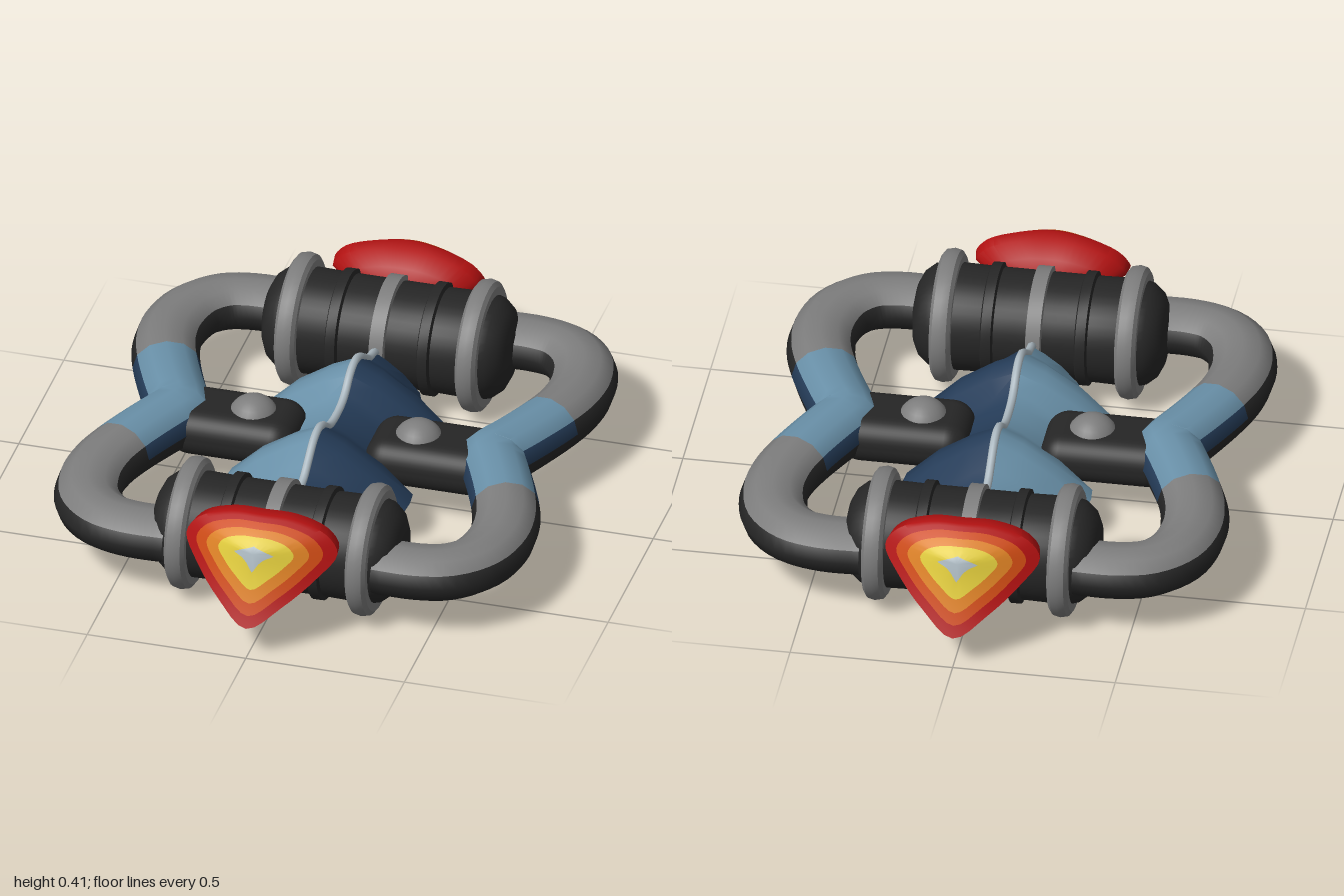
import * as THREE from 'three';
import { toCreasedNormals } from 'three/addons/utils/BufferGeometryUtils.js';
import { RoundedBoxGeometry } from 'three/addons/geometries/RoundedBoxGeometry.js';

const mat = (name, color) => Object.assign(new THREE.MeshStandardMaterial({ color }), { name });
const V = (x, y, z) => new THREE.Vector3(x, y, z);

// Skin over closed rows of points; pick(i, j) gives the material index of each quad
function skin(rows, count, pick, flip = false) {
  const n = rows[0].length;
  const lists = Array.from({ length: count }, () => []);
  for (let i = 0; i < rows.length - 1; i++) {
    for (let j = 0; j < n; j++) {
      const k = (j + 1) % n;
      const a = i * n + j, b = i * n + k, c = (i + 1) * n + k, d = (i + 1) * n + j;
      lists[pick(i, j)].push(...(flip ? [a, c, b, a, d, c] : [a, b, c, a, c, d]));
    }
  }
  const geo = new THREE.BufferGeometry().setFromPoints(rows.flat());
  geo.setIndex(lists.flat());
  let start = 0;
  lists.forEach((l, m) => { geo.addGroup(start, l.length, m); start += l.length; });
  return toCreasedNormals(geo, 0.7);
}

export function createModel() {
  const model = new THREE.Group();
  const black = mat('black', 0x262626), gray = mat('gray', 0x7d7d7d);
  const blue = mat('blue', 0x6990a8), navy = mat('navy', 0x253c58), pale = mat('pale', 0xadbac2);
  const red = mat('red', 0xb01010), rust = mat('rust', 0xcc4a12);
  const orange = mat('orange', 0xdb8023), yellow = mat('yellow', 0xe0cb3c);

  const add = (parent, name, geo, material, x = 0, y = 0, z = 0) => {
    const m = new THREE.Mesh(geo, material);
    m.name = name;
    m.position.set(x, y, z);
    parent.add(m);
    return m;
  };

  // Turned shape around the x axis, profile given as [x, radius]
  const turned = (pts, from = 0, sweep = Math.PI * 2) => toCreasedNormals(
    new THREE.LatheGeometry(pts.map(([x, r]) => new THREE.Vector2(r, x)), 40, from, sweep)
      .rotateZ(-Math.PI / 2), 0.6);

  // Barrel with ridges and domed ends
  const half = [[0.06, 0.162], [0.125, 0.162], [0.13, 0.175], [0.16, 0.175], [0.165, 0.162],
    [0.3, 0.165], [0.335, 0.155], [0.365, 0.13], [0.382, 0.095], [0.39, 0.05], [0.392, 0]];
  const barrelGeo = turned([...half.map(([x, r]) => [-x, r]).reverse(), ...half]);
  const ringGeo = turned([[-0.032, 0.16], [-0.032, 0.186], [-0.022, 0.2], [0, 0.205],
    [0.022, 0.2], [0.032, 0.186], [0.032, 0.16]]);
  const bandPts = [[-0.025, 0.16], [-0.022, 0.177], [0.022, 0.177], [0.025, 0.16]];
  const bandTop = turned(bandPts, Math.PI, Math.PI), bandLow = turned(bandPts, 0, Math.PI);

  // Flame shaped lamp: outline from the lower tip round to the crown
  const side = [[0, 0.11, 1.0], [0.1, 0.175, 0.955], [0.19, 0.25, 0.88], [0.238, 0.31, 0.82],
    [0.2, 0.365, 0.81], [0.1, 0.402, 0.81], [0, 0.41, 0.82]];
  const outline = new THREE.CatmullRomCurve3([
    ...side.map(p => V(...p)),
    ...side.slice(1, -1).reverse().map(([x, y, z]) => V(-x, y, z))], true).getPoints(48).slice(0, 48);
  const tip = V(0, 0.33, 0.925);
  const steps = [0, 0.22, 0.36, 0.5, 0.68, 0.84, 0.93, 1];
  const lampRows = steps.map(s => outline.map((p, j) => {
    // the centre patch is a diamond
    const q = j / 12 % 1;
    const r = s === 0.22 ? s / (Math.abs(Math.sin(q * Math.PI / 2)) + Math.cos(q * Math.PI / 2)) * 1.2 : s;
    const v = tip.clone().lerp(p, r);
    v.z = tip.z + (p.z - tip.z) * Math.pow(r, 1.5);
    return v;
  }));
  lampRows.push(outline.map(p => V(p.x * 0.97, 0.3 + (p.y - 0.3) * 0.95, p.z - 0.045)));
  lampRows.push(outline.map(p => V(p.x * 0.75, 0.29 + (p.y - 0.29) * 0.65, 0.72 + (p.z - 0.8) * 0.2)));
  lampRows.push(outline.map(() => V(0, 0.28, 0.7)));
  const bands = [0, 1, 1, 2, 3, 4, 4, 4, 4, 4];
  const lampGeo = skin(lampRows, 5, i => bands[i], true);

  for (const [name, turn] of [['front', 0], ['back', Math.PI]]) {
    const end = new THREE.Group();
    end.name = name + 'End';
    end.rotation.y = turn;
    add(end, 'barrel', barrelGeo, black, 0, 0.21, 0.61);
    for (const x of [-0.285, 0.285]) add(end, 'barrelRing', ringGeo, gray, x, 0.21, 0.61);
    add(end, 'centreBandTop', bandTop, gray, 0, 0.21, 0.61);
    add(end, 'centreBandBottom', bandLow, black, 0, 0.21, 0.61);
    add(end, 'flameLamp', lampGeo, [pale, yellow, orange, rust, red]);
    model.add(end);
  }

  // Side loop: pinched tube with a coloured upper face
  const halfPath = new THREE.CatmullRomCurve3([[0.49, 0], [0.54, 0.1], [0.605, 0.25], [0.635, 0.35],
    [0.643, 0.46], [0.612, 0.58], [0.54, 0.655], [0.45, 0.68], [0.33, 0.68]]
    .map(([x, z]) => V(x, 0.2, z))).getPoints(32);
  const path = [...halfPath.slice(1).reverse().map(p => V(p.x, p.y, -p.z)), ...halfPath];
  const loopRows = path.map((p, i) => {
    const d = path[Math.min(i + 1, 64)].clone().sub(path[Math.max(i - 1, 0)]).normalize();
    const rv = 0.08 + 0.018 * Math.max(0, 1 - Math.abs(p.z) / 0.5);
    return Array.from({ length: 12 }, (_, j) => {
      const a = j * Math.PI / 6, w = 0.104 * Math.cos(a);
      return V(p.x + d.z * w, p.y + rv * Math.sin(a), p.z - d.x * w);
    });
  });
  const loopGeo = skin(loopRows, 4, (i, j) => {
    const middle = i >= 24 && i < 40;
    if (j >= 1 && j <= 4) return middle ? 2 : 1;
    return middle && (j === 0 || j === 5) ? 3 : 0;
  });
  const armGeo = new RoundedBoxGeometry(0.4, 0.15, 0.25, 5, 0.07);
  const knobGeo = new THREE.SphereGeometry(0.08, 24, 16);

  for (const [name, turn] of [['left', 0], ['right', Math.PI]]) {
    const s = new THREE.Group();
    s.name = name + 'Side';
    s.rotation.y = turn;
    add(s, 'sideLoop', loopGeo, [black, gray, blue, navy]);
    add(s, 'arm', armGeo, black, 0.31, 0.185, 0);
    add(s, 'knob', knobGeo, gray, 0.26, 0.22, 0);
    model.add(s);
  }

  // Central body: [z, half width, ridge height]
  const st = [[0, 0.19, 0.275], [0.06, 0.19, 0.28], [0.1, 0.205, 0.295], [0.15, 0.285, 0.33],
    [0.2, 0.29, 0.345], [0.25, 0.285, 0.335], [0.32, 0.2, 0.29], [0.36, 0.17, 0.265],
    [0.42, 0.145, 0.25], [0.437, 0.11, 0.24]];
  const stations = [...st.slice(1).reverse().map(([z, w, h]) => [-z, w, h]), ...st];
  const section = [[0.94, -0.15], [1, 0], [0.65, 0.48], [0.28, 0.82], [0, 1]];
  const bodyRows = stations.map(([z, w, h]) => [
    ...section, ...section.slice(0, -1).reverse().map(([x, y]) => [-x, y])]
    .map(([x, k]) => V(x * w, 0.13 + (h - 0.13) * k, z)));
  const cap = z => bodyRows[0].map(() => V(0, 0.18, z));
  bodyRows.unshift(cap(-0.437));
  bodyRows.push(cap(0.437));
  add(model, 'centralBody', skin(bodyRows, 2, (i, j) => (j >= 4 && j < 8 ? 1 : 0)), [navy, blue]);

  // Pale crest along the ridge
  const crest = new THREE.CatmullRomCurve3(stations.map(([z, , h]) => V(0, h, z)));
  add(model, 'crest', new THREE.TubeGeometry(crest, 60, 0.013, 8), pale);

  return model;
}
